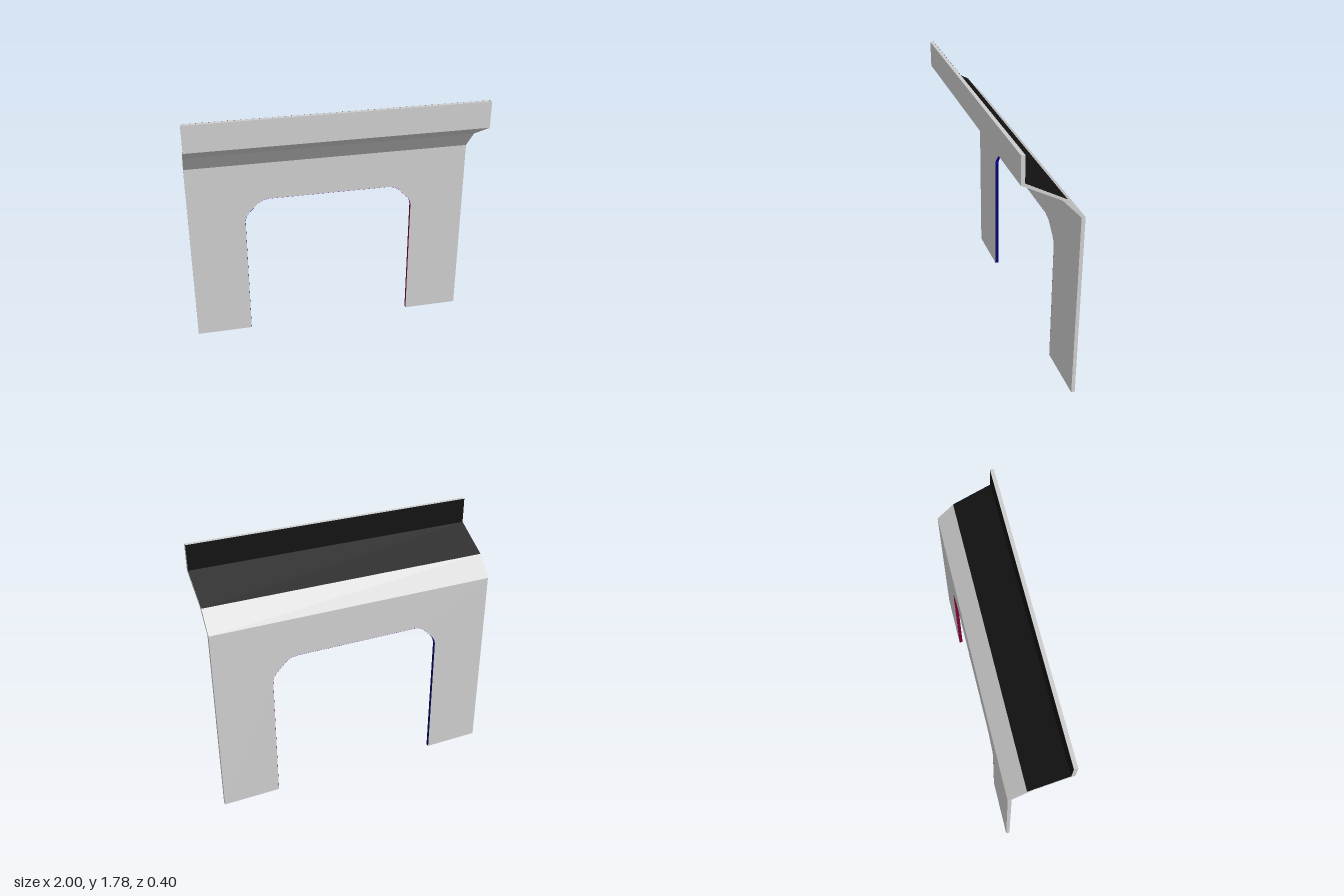
import * as THREE from 'three';

const BACK = -0.2, FRONT = -0.175, EPS = 0.001;

function material(color = 0xcccccc) {
  return new THREE.MeshStandardMaterial({ color, flatShading: true, side: THREE.DoubleSide });
}

function part(name, geometry, color) {
  const mesh = new THREE.Mesh(geometry, material(color));
  mesh.name = name;
  return mesh;
}

// Flat four-cornered sheet, corners counter-clockwise from its front
function sheet(name, corners, color) {
  const g = new THREE.BufferGeometry();
  g.setAttribute('position', new THREE.Float32BufferAttribute(corners.flat(), 3));
  g.setIndex([0, 1, 2, 0, 2, 3]);
  g.computeVertexNormals();
  return part(name, g, color);
}

const toShape = pts => new THREE.Shape(pts.map(p => new THREE.Vector2(...p)));

export function createModel() {
  const group = new THREE.Group();

  // Opening outline, one half mirrored to the other: from the right foot over to the left
  const half = [[-0.605, 0], [-0.605, 0.9], [-0.598, 0.93], [-0.58, 0.96],
    [-0.505, 1.035], [-0.475, 1.052], [-0.43, 1.06]];
  const opening = [...half, ...half.map(([x, y]) => [-x, y]).reverse()];

  // Wall with two legs
  const wall = new THREE.ExtrudeGeometry(
    toShape([[-1, 0], ...opening, [1, 0], [1, 1.332], [-1, 1.332]]),
    { depth: FRONT - BACK, bevelEnabled: false });
  wall.translate(0, 0, BACK);
  group.add(part('wall', wall));

  // Bent hood and upright fascia: side profile as (z, y), swept along x
  const hood = new THREE.ExtrudeGeometry(
    toShape([[BACK, 1.332], [FRONT, 1.332], [-0.05, 1.467], [0.2, 1.603], [0.2, 1.785],
      [0.175, 1.785], [0.175, 1.612], [-0.083, 1.467]]),
    { depth: 2, bevelEnabled: false });
  hood.translate(0, 0, -1).rotateY(-Math.PI / 2);
  group.add(part('hood', hood));

  // Black upper faces of the hood
  const dark = [[-0.083, 1.467], [0.175, 1.612], [0.175, 1.785]];
  ['hoodTopLining', 'fasciaBackLining'].forEach((name, i) => {
    const [z0, y0] = dark[i], [z1, y1] = dark[i + 1];
    const len = Math.hypot(z1 - z0, y1 - y0);
    const dz = -EPS * (y1 - y0) / len, dy = EPS * (z1 - z0) / len;
    group.add(sheet(name, [
      [-1, y0 + dy, z0 + dz], [1, y0 + dy, z0 + dz],
      [1, y1 + dy, z1 + dz], [-1, y1 + dy, z1 + dz]].reverse(), 0x111111));
  });

  // Coloured lining of the opening: blue on the right, through purple, to red on the left
  const reveal = new THREE.Group();
  reveal.name = 'openingLining';
  const ramp = [0x000066, 0x0000aa, 0x1100aa, 0x1a00aa, 0x2200aa, 0x2a00aa,
    0x550088, 0x770088, 0x880088, 0x880088, 0x880077, 0x880066, 0x770033];
  for (let i = 0; i < opening.length - 1; i++) {
    const [x0, y0] = opening[i], [x1, y1] = opening[i + 1];
    const len = Math.hypot(x1 - x0, y1 - y0);
    const dx = EPS * (y1 - y0) / len, dy = -EPS * (x1 - x0) / len;
    reveal.add(sheet('liningStrip', [
      [x0 + dx, y0 + dy, BACK], [x1 + dx, y1 + dy, BACK],
      [x1 + dx, y1 + dy, FRONT], [x0 + dx, y0 + dy, FRONT]], ramp[i]));
  }
  group.add(reveal);

  return group;
}
